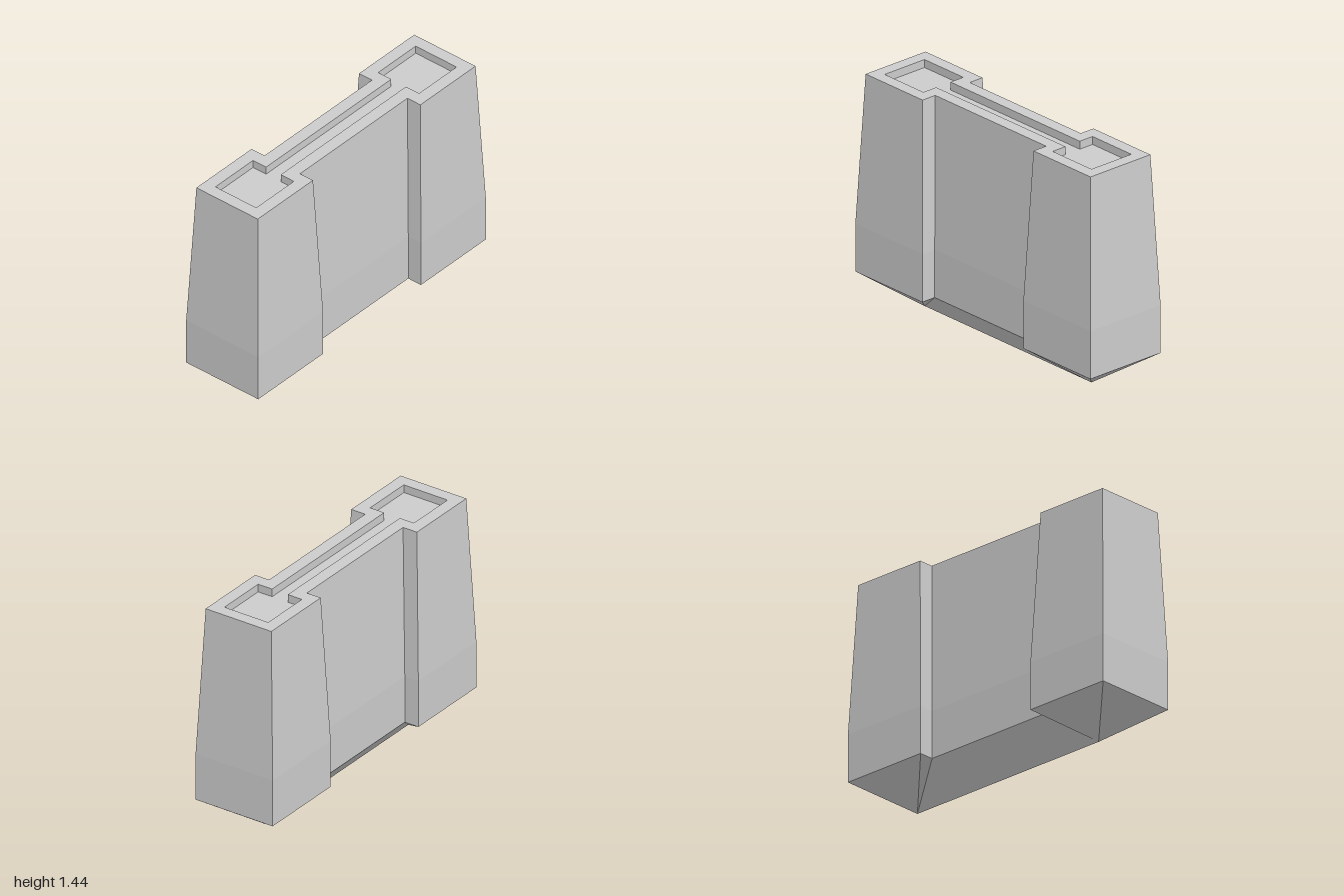
import * as THREE from 'three';

// Dumbbell-shaped plan: end blocks reach xo / zo, the web between has half-depth zc
function plan(y, xo, xi, zo, zc) {
  return [
    [-xo, zo], [-xi, zo], [-xi, zc], [xi, zc], [xi, zo], [xo, zo],
    [xo, -zo], [xi, -zo], [xi, -zc], [-xi, -zc], [-xi, -zo], [-xo, -zo],
  ].map(([x, z]) => [x, y, z]);
}

// Flat-shaded mesh from a list of triangles and quads
function facesMesh(name, faces, material) {
  const pos = [];
  for (const [a, b, c, d] of faces) {
    pos.push(...a, ...b, ...c);
    if (d) pos.push(...a, ...c, ...d);
  }
  const geometry = new THREE.BufferGeometry();
  geometry.setAttribute('position', new THREE.Float32BufferAttribute(pos, 3));
  geometry.computeVertexNormals();
  const mesh = new THREE.Mesh(geometry, material);
  mesh.name = name;
  return mesh;
}

// Band of quads joining two plans
function band(a, b) {
  return a.map((p, i) => {
    const j = (i + 1) % a.length;
    return [p, a[j], b[j], b[i]];
  });
}

export function createModel() {
  const group = new THREE.Group();
  group.name = 'pier';
  const grey = new THREE.MeshStandardMaterial({ color: 0xcccccc });
  grey.name = 'light grey';

  const base = plan(0.2, 1, 0.43, 0.27, 0.175);
  const shoulder = plan(0.5, 1, 0.43, 0.27, 0.175);
  const top = plan(1.44, 0.957, 0.472, 0.23, 0.133);
  const lip = plan(1.44, 0.88, 0.55, 0.153, 0.055);
  const floor = plan(1.39, 0.88, 0.55, 0.153, 0.055);

  // Upright skirt and tapering walls
  group.add(facesMesh('lowerWalls', band(base, shoulder), grey));
  group.add(facesMesh('taperedWalls', band(shoulder, top), grey));

  // Rim and the shallow recess inside it
  group.add(facesMesh('topRim', band(top, lip), grey));
  group.add(facesMesh('recessWalls', band(lip, floor), grey));
  const floorFaces = [[0, 1, 10, 11], [2, 3, 8, 9], [4, 5, 6, 7]].map((q) => q.map((i) => floor[i]));
  group.add(facesMesh('recessFloor', floorFaces, grey));

  // Keel: every base edge slopes down to a central ridge
  const ridge = [[-0.71, 0, 0], [0.71, 0, 0]];
  const keel = base.map((a, i) => {
    const b = base[(i + 1) % base.length];
    const ra = ridge[a[0] > 0 ? 1 : 0];
    const rb = ridge[b[0] > 0 ? 1 : 0];
    return ra === rb ? [b, a, ra] : [b, a, ra, rb];
  });
  // The two long end-to-end edges never cross the middle except along the web
  group.add(facesMesh('keel', keel, grey));

  return group;
}
